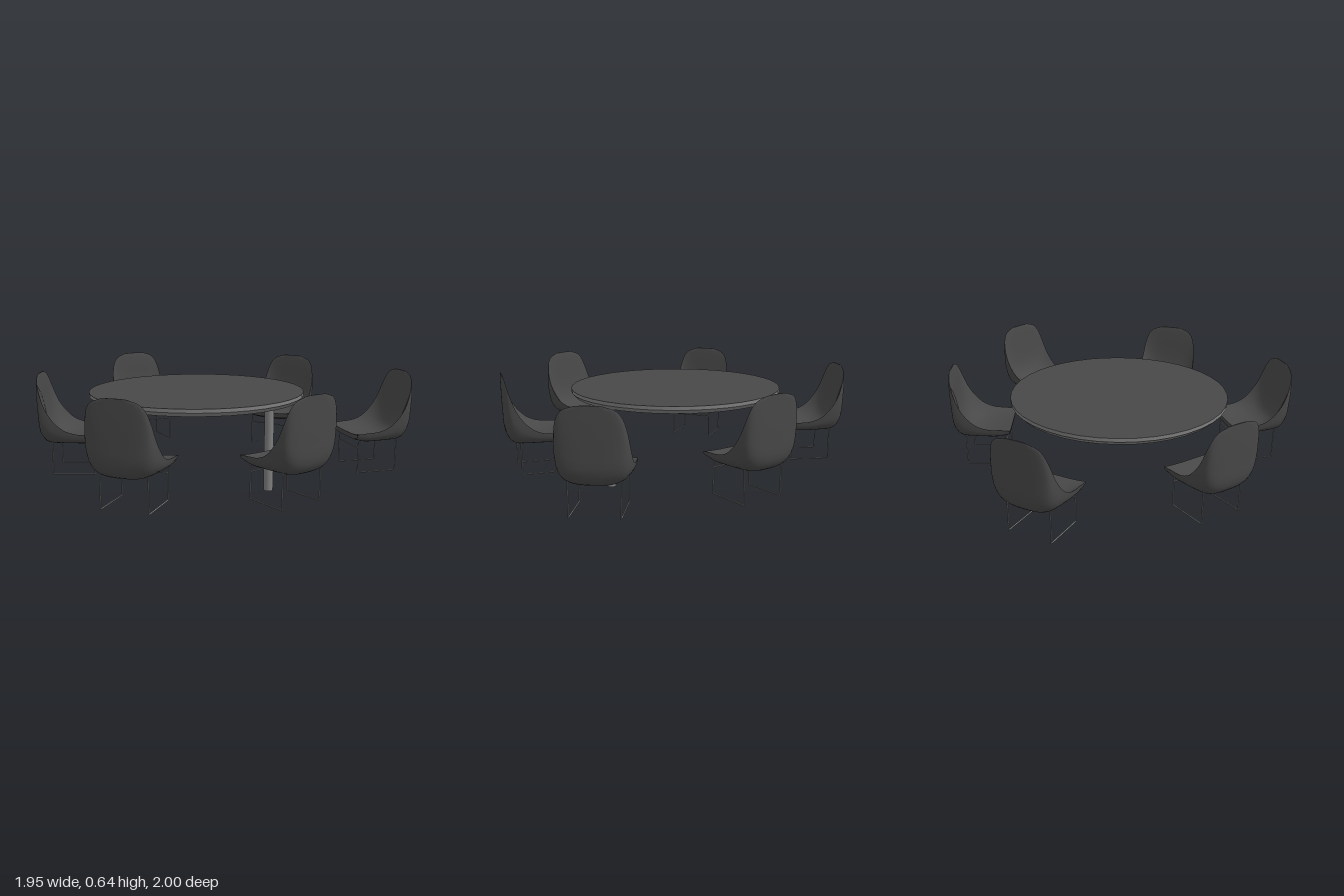
import * as THREE from 'three';
import { toCreasedNormals } from 'three/addons/utils/BufferGeometryUtils.js';

const mat = (name, color) => Object.assign(new THREE.MeshStandardMaterial({ color }), { name });

// Bucket seat: three lengthwise curves (rim, inner centre, outer centre), front of seat to top of back
const DEPTH = 0.34;
const curve = pts => new THREE.CatmullRomCurve3(
  pts.map(([x, y, d]) => new THREE.Vector3(x, y, d - DEPTH / 2)));
const rim = curve([[0.17, 0.31, 0.34], [0.173, 0.316, 0.28], [0.175, 0.322, 0.21], [0.177, 0.345, 0.15],
  [0.178, 0.39, 0.1], [0.175, 0.45, 0.06], [0.167, 0.52, 0.033], [0.147, 0.585, 0.015],
  [0.118, 0.616, 0.008], [0.07, 0.632, 0.004]]);
const inner = curve([[0, 0.302, 0.341], [0, 0.29, 0.28], [0, 0.282, 0.21], [0, 0.285, 0.14],
  [0, 0.312, 0.083], [0, 0.375, 0.047], [0, 0.465, 0.029], [0, 0.56, 0.018],
  [0, 0.61, 0.011], [0, 0.637, 0.006]]);
const outer = curve([[0, 0.272, 0.335], [0, 0.252, 0.28], [0, 0.25, 0.2], [0, 0.25, 0.12],
  [0, 0.255, 0.05], [0, 0.3, 0.012], [0, 0.42, 0.002], [0, 0.54, 0],
  [0, 0.61, 0], [0, 0.637, 0]]);

function shellGeometry() {
  const N = 20, ROWS = 30, ring = 2 * N;
  const pos = [], idx = [];
  const tri = (a, b, c) => { if (a !== b && b !== c && a !== c) idx.push(a, b, c); };
  for (let r = 0; r <= ROWS; r++) {
    const v = r / ROWS;
    const edge = rim.getPoint(v), top = inner.getPoint(v), under = outer.getPoint(v);
    for (let k = 0; k < ring; k++) {
      const isTop = k <= N;
      const t = (isTop ? k : ring - k) / N * 2 - 1;
      const s = Math.sin(t * Math.PI / 2), a = Math.min(1, Math.abs(s));
      // soft dish inside, boxy belly outside
      const w = isTop ? a ** 3 : 1 - Math.cbrt(Math.max(0, 1 - a ** 3));
      const p = (isTop ? top : under).clone().lerp(edge, w);
      pos.push(edge.x * s, p.y, p.z);
    }
  }
  for (let r = 0; r < ROWS; r++) {
    for (let k = 0; k < ring; k++) {
      const a = r * ring + k, b = r * ring + (k + 1) % ring;
      tri(a, b, b + ring);
      tri(a, b + ring, a + ring);
    }
  }
  // Front lip and top edge
  for (let k = 0; k < N; k++) {
    const o0 = (ring - k) % ring, o1 = ring - k - 1, e = ROWS * ring;
    tri(k, o0, o1); tri(k, o1, k + 1);
    tri(e + k, e + o1, e + o0); tri(e + k, e + k + 1, e + o1);
  }
  const g = new THREE.BufferGeometry();
  g.setAttribute('position', new THREE.Float32BufferAttribute(pos, 3));
  g.setIndex(idx);
  return toCreasedNormals(g, 0.9);
}

export function createModel() {
  const model = new THREE.Group();
  model.name = 'diningSet';
  const charcoal = mat('charcoal', 0x484848);
  const metal = mat('greyMetal', 0x808080);
  const underside = mat('undersideGrey', 0x6c6c6c);

  const add = (parent, name, geo, material, x = 0, y = 0, z = 0) => {
    const m = new THREE.Mesh(geo, material);
    m.name = name;
    m.position.set(x, y, z);
    parent.add(m);
    return m;
  };

  // Round table: slab with metal edge, bevelled rim below it, and a single post
  const table = new THREE.Group();
  table.name = 'table';
  table.position.set(-0.1, 0, -0.01);
  model.add(table);
  const SIDES = 40;
  add(table, 'tableTop', new THREE.CylinderGeometry(0.61, 0.61, 0.02, SIDES),
    [metal, charcoal, underside], 0, 0.517, 0);
  add(table, 'tableRim', new THREE.CylinderGeometry(0.608, 0.59, 0.022, SIDES),
    [metal, charcoal, underside], 0, 0.496, 0);
  add(table, 'tablePost', new THREE.CylinderGeometry(0.026, 0.026, 0.49, 20), metal, 0.242, 0.245, 0.4);

  // Chairs: [x, z, yaw]
  const shell = shellGeometry();
  const LEG_X = 0.125, LEG_BACK = -0.09, LEG_FRONT = 0.14, FOOT = 0.084;
  const rod = length => new THREE.CylinderGeometry(0.004, 0.004, length, 8);
  const spots = [[-0.09, -0.83, 0], [0.651, -0.29, -1.06], [0.781, 0.482, -1.8],
    [-0.009, 0.815, -2.967], [-0.716, 0.535, 2.325], [-0.763, -0.257, 1.087]];
  for (const [x, z, yaw] of spots) {
    const chair = new THREE.Group();
    chair.name = 'chair';
    chair.position.set(x, 0, z);
    chair.rotation.y = yaw;
    model.add(chair);
    add(chair, 'seatShell', shell, charcoal);
    // Sled legs with a cross bar under the front of the seat
    for (const side of [-1, 1]) {
      for (const lz of [LEG_BACK, LEG_FRONT]) {
        add(chair, 'leg', rod(0.19), metal, side * LEG_X, FOOT + 0.092, lz);
      }
      add(chair, 'runner', rod(LEG_FRONT - LEG_BACK), metal,
        side * LEG_X, FOOT, (LEG_BACK + LEG_FRONT) / 2).rotation.x = Math.PI / 2;
    }
    add(chair, 'crossBar', rod(LEG_X * 2), metal, 0, 0.224, LEG_FRONT).rotation.z = Math.PI / 2;
  }
  return model;
}
